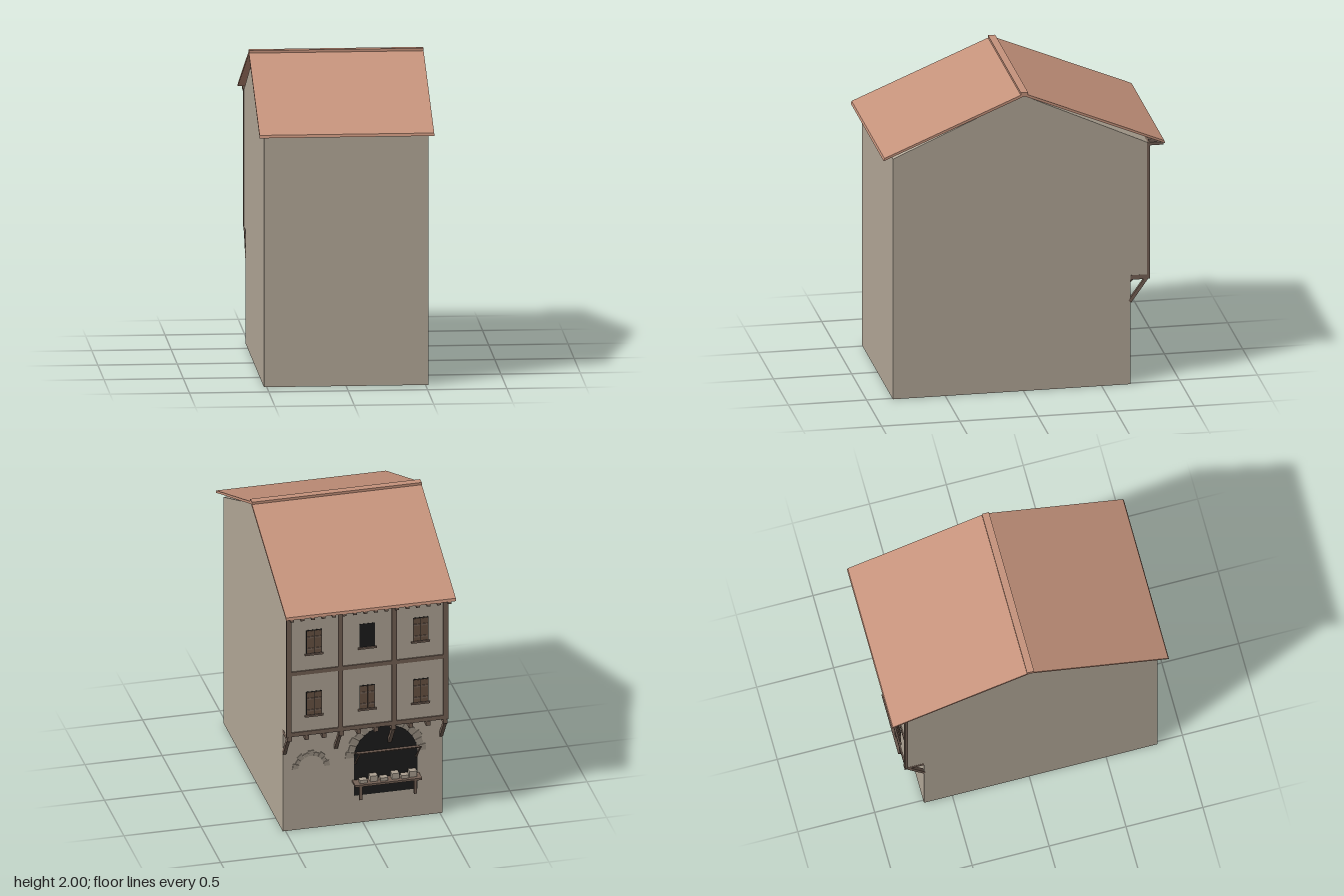
import * as THREE from 'three';

export function createModel() {
  const house = new THREE.Group();
  house.name = 'house';
  const mat = (name, color) => {
    const m = new THREE.MeshStandardMaterial({ color });
    m.name = name;
    return m;
  };
  const plaster = mat('plaster', 0xb3a898);
  const tile = mat('roofTile', 0xc6937c);
  const timber = mat('timber', 0x756256);
  const shutterWood = mat('shutterWood', 0x6a5444);
  const stone = mat('stone', 0x9c9184);
  const dark = mat('darkOpening', 0x1c1c1c);
  const crateWood = mat('crate', 0xaca091);

  const add = (name, geo, material, parent = house) => {
    const m = new THREE.Mesh(geo, material);
    m.name = name;
    parent.add(m);
    return m;
  };
  const group = (name) => {
    const g = new THREE.Group();
    g.name = name;
    house.add(g);
    return g;
  };
  // box given by its extents on each axis
  const box = (name, x0, x1, y0, y1, z0, z1, material, parent) => {
    const geo = new THREE.BoxGeometry(Math.abs(x1 - x0), y1 - y0, Math.abs(z1 - z0));
    geo.translate((x0 + x1) / 2, (y0 + y1) / 2, (z0 + z1) / 2);
    return add(name, geo, material, parent);
  };
  // extrude a [z, y] profile across the width
  const across = (name, profile, x0, x1, material, parent) => {
    const shape = new THREE.Shape(profile.map(([z, y]) => new THREE.Vector2(-z, y)));
    const geo = new THREE.ExtrudeGeometry(shape, { depth: x1 - x0, bevelEnabled: false });
    geo.rotateY(Math.PI / 2).translate(x0, 0, 0);
    return add(name, geo, material, parent);
  };
  // square bar between two [z, y] points
  const bar = (name, x, [za, ya], [zb, yb], w, material, parent) => {
    const geo = new THREE.BoxGeometry(w, w, Math.hypot(zb - za, yb - ya));
    geo.rotateX(Math.atan2(-(yb - ya), zb - za));
    geo.translate(x, (ya + yb) / 2, (za + zb) / 2);
    return add(name, geo, material, parent);
  };

  const WALL = -0.685, UPPER = -0.8, JETTY = 0.725;

  // Walls with gables and an overhanging upper part
  across('walls', [[0.835, 0], [0.835, 1.6], [0, 1.968], [UPPER, 1.6],
    [UPPER, JETTY], [WALL, JETTY], [WALL, 0]], -0.518, 0.518, plaster);

  // Roof and ridge
  across('roof', [[0.9, 1.602], [0.895, 1.62], [0, 1.993], [-0.895, 1.62],
    [-0.9, 1.602], [0, 1.975]], -0.55, 0.55, tile);
  box('ridgeCap', -0.55, 0.55, 1.98, 2, -0.023, 0.023, tile);

  // Rafter ends under the eaves
  const rafters = group('rafters');
  for (let i = 0; i < 16; i++) {
    const x = -0.51 + i * 0.068;
    box('rafter', x - 0.012, x + 0.012, 1.584, 1.603, -0.895, -0.79, timber, rafters);
  }

  // Timber frame of the upper floors
  const frame = group('timberFrame');
  const postX = [-0.508, -0.174, 0.174, 0.508];
  for (const x of postX) box('post', x - 0.016, x + 0.016, JETTY, 1.6, -0.809, -0.79, timber, frame);
  for (const y of [0.74, 1.17, 1.588])
    box('rail', -0.523, 0.523, y - 0.014, y + 0.014, -0.808, -0.795, timber, frame);

  // Jetty joists and braces
  const jetty = group('jetty');
  for (let i = 0; i < 10; i++) {
    const x = -0.505 + i * 0.1122;
    box('joist', x - 0.014, x + 0.014, 0.695, JETTY, -0.81, WALL, timber, jetty);
  }
  for (const x of postX) bar('brace', x, [-0.68, 0.55], [-0.79, 0.705], 0.022, timber, jetty);

  // Windows, shuttered except the upper middle one
  const windows = group('windows');
  for (const y of [0.865, 1.3]) {
    for (const x of [-0.345, 0, 0.345]) {
      box('windowPane', x - 0.05, x + 0.05, y, y + 0.165, -0.802, -0.798, dark, windows);
      box('sill', x - 0.06, x + 0.06, y - 0.012, y, -0.81, -0.798, timber, windows);
      if (x === 0 && y > 1) continue;
      for (const s of [-1, 1]) {
        const cx = x + s * 0.0245;
        box('shutter', cx - 0.022, cx + 0.022, y + 0.003, y + 0.16, -0.805, -0.801, shutterWood, windows);
        for (const b of [0.028, 0.11])
          box('batten', cx - 0.02, cx + 0.02, y + b, y + b + 0.012, -0.809, -0.804, timber, windows);
      }
    }
  }

  // Ring of wedge stones around an arch on the back wall
  const archStones = (name, cx, cy, inner, outer, count) => {
    const g = group(name);
    const step = Math.PI / count;
    for (let i = 0; i < count; i++) {
      const a0 = i * step + 0.02, a1 = (i + 1) * step - 0.02;
      const r = outer - (i % 2) * 0.012;
      const p = (rad, a) => new THREE.Vector2(cx + rad * Math.cos(a), cy + rad * Math.sin(a));
      const shape = new THREE.Shape([p(inner, a0), p(r, a0), p(r, a1), p(inner, a1)]);
      const geo = new THREE.ExtrudeGeometry(shape, { depth: 0.008, bevelEnabled: false });
      add('archStone', geo.translate(0, 0, WALL - 0.006), stone, g);
    }
  };
  archStones('blindArch', 0.335, 0.43, 0.085, 0.122, 9);
  archStones('shopArch', -0.148, 0.46, 0.207, 0.262, 15);

  // Dark arched shop opening
  const opening = new THREE.Shape();
  opening.moveTo(-0.353, 0.195);
  opening.lineTo(0.057, 0.195);
  opening.lineTo(0.057, 0.46);
  opening.absarc(-0.148, 0.46, 0.205, 0, Math.PI, false);
  opening.closePath();
  const openingGeo = new THREE.ExtrudeGeometry(opening, { depth: 0.006, bevelEnabled: false, curveSegments: 20 });
  add('shopOpening', openingGeo.translate(0, 0, WALL - 0.004), dark);

  // Raised shutter with its struts
  const awning = group('awning');
  across('awningBoard', [[-0.685, 0.492], [-0.685, 0.499], [-0.808, 0.552], [-0.808, 0.545]],
    -0.353, 0.057, timber, awning);
  for (const x of [-0.345, 0.049]) bar('awningStrut', x, [-0.685, 0.42], [-0.8, 0.545], 0.008, timber, awning);

  // Counter with goods
  const counter = group('counter');
  box('counterTop', -0.365, 0.069, 0.292, 0.306, -0.765, WALL, timber, counter);
  for (const x of [-0.325, 0.03]) box('counterLeg', x - 0.009, x + 0.009, 0.195, 0.292, -0.757, -0.742, timber, counter);
  [0.01, -0.06, -0.125, -0.2, -0.26, -0.315].forEach((x, i) => {
    const far = i % 2;
    box('crate', x - 0.024, x + 0.024, 0.306, far ? 0.345 : 0.328,
      far ? -0.738 : -0.746, far ? -0.695 : -0.705, crateWood, counter);
  });

  return house;
}
